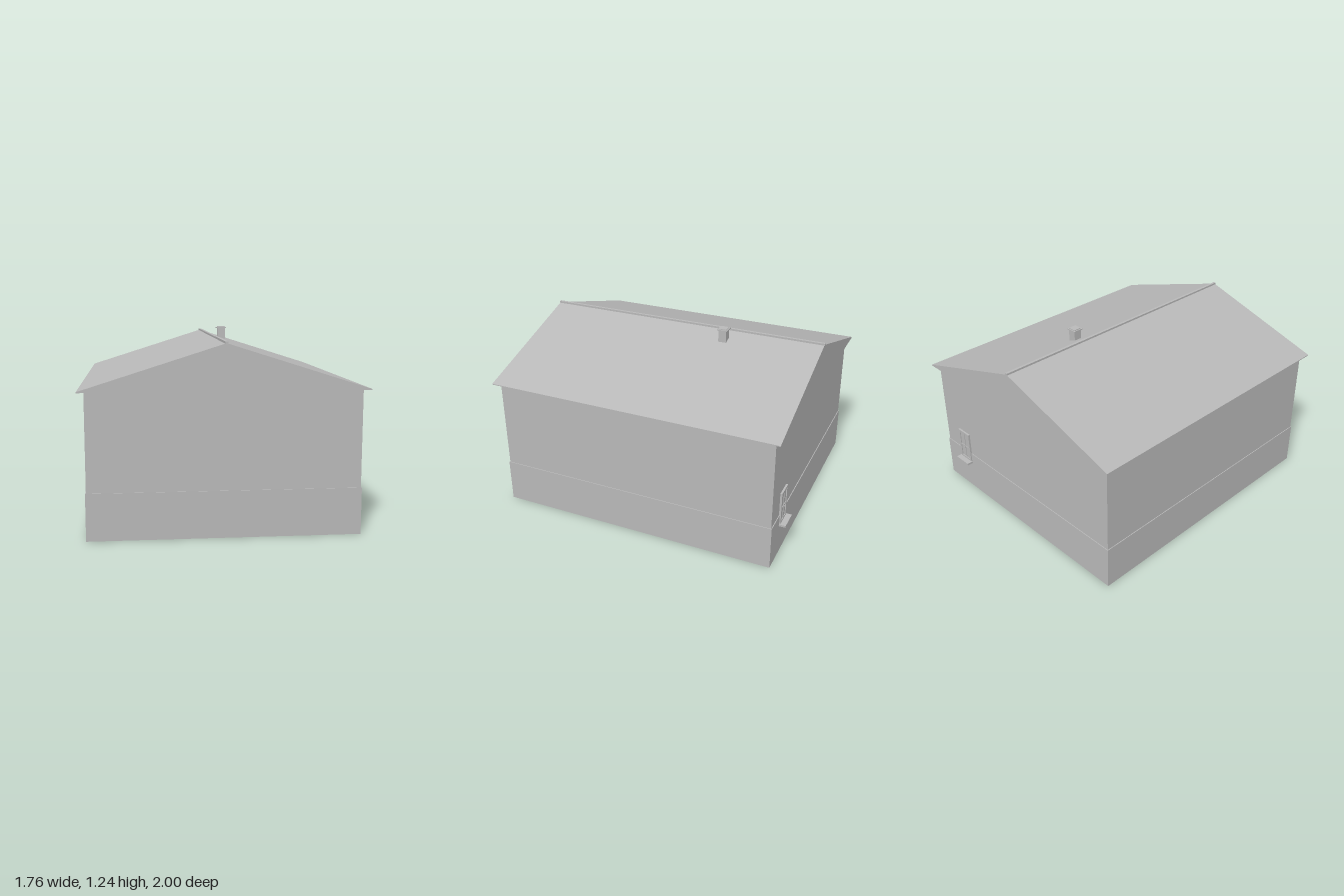
import * as THREE from 'three';

export function createModel() {
  const house = new THREE.Group();
  house.name = 'house';
  const plaster = new THREE.MeshStandardMaterial({ color: 0xb8b8b8 });
  plaster.name = 'lightGrey';

  // Box given by its lower and upper limits on each axis
  function box(name, [x0, x1], [y0, y1], [z0, z1], parent = house) {
    const mesh = new THREE.Mesh(new THREE.BoxGeometry(x1 - x0, y1 - y0, z1 - z0), plaster);
    mesh.position.set((x0 + x1) / 2, (y0 + y1) / 2, (z0 + z1) / 2);
    mesh.name = name;
    parent.add(mesh);
    return mesh;
  }

  // Base and walls
  box('plinth', [-0.845, 0.845], [0, 0.295], [-0.955, 0.965]);
  box('walls', [-0.84, 0.84], [0.295, 0.907], [-0.95, 0.96]);

  // Solid gable roof with a thin eave edge
  const profile = new THREE.Shape([
    new THREE.Vector2(-0.882, 0.905),
    new THREE.Vector2(0.882, 0.905),
    new THREE.Vector2(0.882, 0.911),
    new THREE.Vector2(0, 1.19),
    new THREE.Vector2(-0.882, 0.911),
  ]);
  const roofGeometry = new THREE.ExtrudeGeometry(profile, { depth: 1.986, bevelEnabled: false });
  const roof = new THREE.Mesh(roofGeometry, plaster);
  roof.position.z = -0.988;
  roof.name = 'roof';
  house.add(roof);
  box('ridgeCap', [-0.009, 0.009], [1.18, 1.2], [-0.99, 1]);

  // Chimney: shaft, overhanging slab and a small raised flue rim
  const chimney = new THREE.Group();
  chimney.name = 'chimney';
  house.add(chimney);
  box('chimneyShaft', [0.08, 0.135], [1.1, 1.228], [-0.359, -0.304], chimney);
  box('chimneySlab', [0.072, 0.143], [1.228, 1.235], [-0.367, -0.296], chimney);
  box('chimneyRim', [0.08, 0.135], [1.235, 1.24], [-0.359, -0.304], chimney);

  // Window on the back wall
  const windowGroup = new THREE.Group();
  windowGroup.name = 'window';
  house.add(windowGroup);
  const outer = [-0.963, -0.945];
  for (const [a, b] of [[0.565, 0.58], [0.67, 0.685]]) {
    box('frameSide', [a, b], [0.23, 0.455], outer, windowGroup);
  }
  box('frameTop', [0.58, 0.67], [0.44, 0.455], outer, windowGroup);
  box('frameBottom', [0.58, 0.67], [0.23, 0.242], outer, windowGroup);
  box('glass', [0.58, 0.67], [0.242, 0.44], [-0.957, -0.95], windowGroup);
  box('mullion', [0.621, 0.629], [0.242, 0.44], [-0.961, -0.95], windowGroup);
  box('transom', [0.58, 0.67], [0.33, 0.338], [-0.961, -0.95], windowGroup);
  box('handle', [0.622, 0.628], [0.322, 0.336], [-0.967, -0.96], windowGroup);
  box('windowSill', [0.558, 0.692], [0.216, 0.23], [-1, -0.95], windowGroup);

  return house;
}
